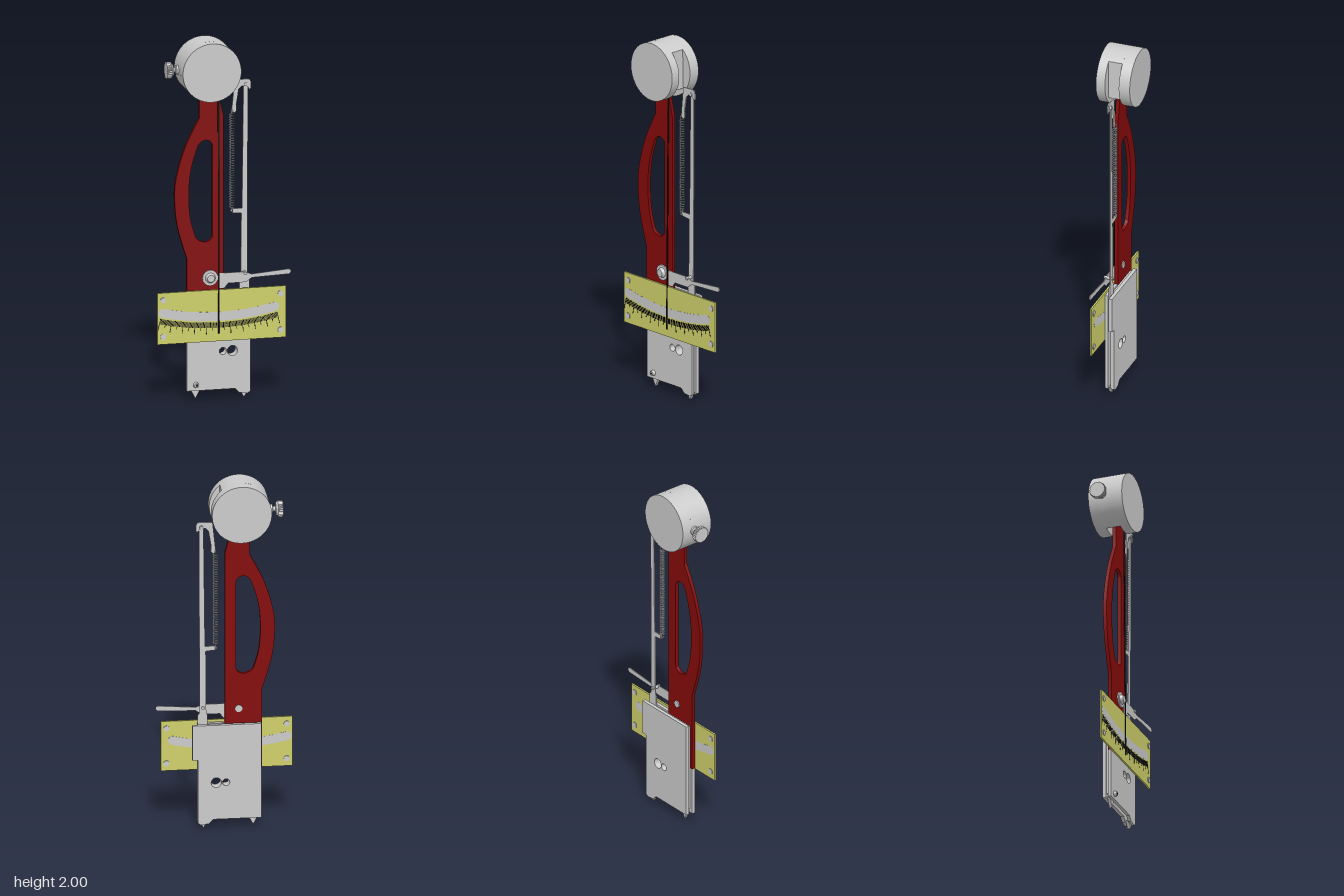
import * as THREE from 'three';
import { toCreasedNormals } from 'three/addons/utils/BufferGeometryUtils.js';

const mat = (color) => new THREE.MeshStandardMaterial({ color });
const GREY = mat(0xcccccc), RED = mat(0x850a0a), YELLOW = mat(0xcfd06a), BLACK = mat(0x111111);
const V = (x, y) => new THREE.Vector2(x, y);

export function createModel() {
  const root = new THREE.Group();

  const add = (name, geometry, material = GREY) => {
    const mesh = new THREE.Mesh(geometry, material);
    mesh.name = name;
    root.add(mesh);
    return mesh;
  };
  const poly = (pts) => new THREE.Shape(pts.map(([x, y]) => V(x, y)));
  // flat part: outline in x/y, between two depths
  const plate = (name, shape, z0, z1, material) => {
    const g = new THREE.ExtrudeGeometry(shape, { depth: z1 - z0, bevelEnabled: false, curveSegments: 32 });
    g.translate(0, 0, z0);
    return add(name, toCreasedNormals(g, 0.5), material);
  };
  // round part with its axis along z
  const disc = (name, x, y, r, z0, z1, material, r1 = r, sides = 32) => {
    const g = new THREE.CylinderGeometry(r1, r, z1 - z0, sides);
    g.rotateX(Math.PI / 2);
    g.translate(x, y, (z0 + z1) / 2);
    return add(name, g, material);
  };
  const circleHole = (x, y, r) => new THREE.Path().absarc(x, y, r, 0, Math.PI * 2, true);

  // Drum: two full discs with a cut-away slice between them
  const cx = -0.0875, cy = 1.8375, R = 0.1625;
  disc('drumFront', cx, cy, R, 0.045, 0.097, GREY, R, 64);
  disc('drumBack', cx, cy, R, -0.098, -0.035, GREY, R, 64);
  const slice = new THREE.Shape();
  slice.absarc(cx, cy, R, 0.868, 4.383, false);
  slice.lineTo(-0.14, 1.74);
  slice.lineTo(0.018, 1.74);
  plate('drumMiddle', slice, -0.035, 0.045);

  // Fluted knob on the side of the drum
  const flutes = [];
  for (let i = 0; i < 48; i++) {
    const a = (i / 48) * Math.PI * 2, r = i % 2 ? 0.041 : 0.046;
    flutes.push([r * Math.cos(a), r * Math.sin(a)]);
  }
  const knobHead = plate('knobHead', poly(flutes), 0, 0.027);
  knobHead.rotation.y = -Math.PI / 2;
  knobHead.position.set(-0.289, cy, -0.02);
  const stem = add('knobStem', toCreasedNormals(new THREE.LatheGeometry([
    V(0, 0), V(0.025, 0), V(0.025, 0.018), V(0.013, 0.022), V(0.013, 0.034),
    V(0.032, 0.036), V(0.043, 0.048), V(0, 0.048)], 32), 0.5));
  stem.rotation.z = Math.PI / 2;
  stem.position.set(-0.242, cy, -0.02);

  // Arm with bowed handle and grip opening
  const arm = new THREE.Shape();
  arm.moveTo(-0.208, 0.33);
  arm.lineTo(-0.005, 0.33);
  arm.lineTo(-0.005, 1.58);
  arm.lineTo(-0.03, 1.68);
  arm.lineTo(-0.03, 1.745);
  arm.lineTo(-0.14, 1.745);
  arm.lineTo(-0.14, 1.57);
  arm.splineThru([V(-0.215, 1.42), V(-0.262, 1.27), V(-0.277, 1.15), V(-0.262, 0.98), V(-0.208, 0.79)]);
  const grip = new THREE.Path();
  grip.moveTo(-0.066, 0.92);
  grip.lineTo(-0.066, 1.41);
  grip.quadraticCurveTo(-0.07, 1.445, -0.105, 1.447);
  grip.quadraticCurveTo(-0.135, 1.445, -0.15, 1.41);
  grip.splineThru([V(-0.185, 1.29), V(-0.198, 1.16), V(-0.19, 1.02), V(-0.16, 0.91)]);
  grip.quadraticCurveTo(-0.145, 0.885, -0.105, 0.88);
  grip.quadraticCurveTo(-0.068, 0.885, -0.066, 0.92);
  arm.holes.push(grip);
  plate('arm', arm, 0, 0.02, RED);

  // Base: front plate, spacer and back plate with two through holes
  const foot = [[0.06, 0.055], [0.085, 0.03], [0.13, 0.025], [0.145, 0.035]];
  const basePlates = [
    ['baseFrontPlate', [[-0.208, 0.055], ...foot, [0.145, 0.6], [0, 0.6], [0, 0.33], [-0.208, 0.33]], 0, 0.018],
    ['baseSpacer', [[-0.19, 0.08], [0.07, 0.08], [0.07, 0.59], [-0.19, 0.59]], -0.015, 0],
    ['baseBackPlate', [[-0.2, 0.055], ...foot, [0.145, 0.4], [0.175, 0.4], [0.175, 0.6], [-0.2, 0.6]], -0.035, -0.015],
  ];
  for (const [name, pts, z0, z1] of basePlates) {
    const s = poly(pts);
    s.holes.push(circleHole(-0.008, 0.267, 0.02), circleHole(0.045, 0.267, 0.028));
    plate(name, s, z0, z1);
  }
  plate('leftTooth', poly([[-0.185, 0.06], [-0.157, 0.008], [-0.13, 0.06], [-0.157, 0.1]]), -0.012, 0.004);
  plate('rightTooth', poly([[0.09, 0.04], [0.113, 0], [0.136, 0.04]]), -0.015, 0.004);
  disc('toothScrew', -0.157, 0.087, 0.016, 0.018, 0.034, GREY, 0.012);
  disc('toothScrewSocket', -0.157, 0.087, 0.006, 0.03, 0.035, BLACK);

  // Dial plate with curved strip, graduations and corner screws
  plate('dialPlate', poly([[-0.375, 0.327], [0.34, 0.327], [0.34, 0.613], [-0.375, 0.613]]), 0.02, 0.03, YELLOW);
  const px = -0.034, py = 1.84, down = -Math.PI / 2;
  const strip = new THREE.Shape(), half = 0.228, endY = 0.025;
  strip.absarc(px, py, 1.375 + endY, down - half, down + half, false);
  strip.absarc(px + 1.375 * Math.sin(half), py - 1.375 * Math.cos(half), endY, down + half, down + half + Math.PI, false);
  strip.absarc(px, py, 1.375 - endY, down + half, down - half, true);
  strip.absarc(px - 1.375 * Math.sin(half), py - 1.375 * Math.cos(half), endY, down - half + Math.PI, down - half + Math.PI * 2, false);
  plate('dialStrip', strip, 0.0195, 0.0305);
  const ticks = new THREE.Group();
  ticks.name = 'graduations';
  for (let i = -50; i <= 50; i++) {
    const len = i % 10 === 0 ? 0.065 : i % 5 === 0 ? 0.045 : 0.03;
    const a = (i / 50) * 0.232, r = 1.408 + len / 2;
    const tick = new THREE.Mesh(new THREE.BoxGeometry(0.0035, len, 0.001), BLACK);
    tick.position.set(px + r * Math.sin(a), py - r * Math.cos(a), 0.0305);
    tick.rotation.z = a;
    ticks.add(tick);
  }
  root.add(ticks);
  for (const x of [-0.343, 0.31]) {
    for (const y of [0.37, 0.572]) disc('dialScrew', x, y, 0.016, 0.016, 0.034);
  }

  // Pointer needle
  const needle = add('needle', new THREE.BoxGeometry(0.008, 1.32, 0.003), BLACK);
  needle.position.set(-0.034, 1.03, 0.029);
  needle.rotation.x = -0.009;

  // Pivot bolt through the arm
  disc('pivotWasher', -0.08, 0.68, 0.043, 0.02, 0.028);
  disc('pivotBolt', -0.08, 0.68, 0.028, 0.028, 0.045, GREY, 0.02);
  disc('pivotBack', -0.08, 0.68, 0.02, -0.006, 0);

  // Release lever
  const lever = poly([[-0.03, 0.62], [0, 0.62], [0.02, 0.645], [0.12, 0.645], [0.15, 0.668], [0.355, 0.676]]);
  lever.absarc(0.355, 0.69, 0.014, down, -down, false);
  for (const [x, y] of [[0.15, 0.688], [0.115, 0.703], [-0.03, 0.703]]) lever.lineTo(x, y);
  plate('lever', lever, 0.02, 0.025);
  disc('leverPin', 0.115, 0.695, 0.009, -0.018, 0.033);

  // Long rod with spring tab, and the catch hooked over its top
  plate('rod', poly([[0.09, 0.56], [0.145, 0.56], [0.145, 0.65], [0.133, 0.665], [0.137, 1.73], [0.112, 1.73],
    [0.104, 1.05], [0.045, 1.052], [0.038, 1.038], [0.05, 1.027], [0.1, 1.022], [0.097, 0.67], [0.09, 0.65]]), -0.01, -0.004);
  plate('catch', poly([[0.045, 1.6], [0.058, 1.583], [0.072, 1.595], [0.07, 1.63], [0.084, 1.715], [0.1, 1.732],
    [0.132, 1.73], [0.142, 1.712], [0.153, 1.715], [0.153, 1.75], [0.146, 1.766], [0.13, 1.77], [0.062, 1.767]]), -0.004, 0.003);
  disc('catchPivot', 0.123, 1.74, 0.01, -0.014, 0.008);

  // Coil spring
  const turns = 38, coil = [];
  for (let i = 0; i <= turns * 10; i++) {
    const a = (i / 10) * Math.PI * 2;
    coil.push(new THREE.Vector3(0.047 + 0.012 * Math.cos(a), 1.055 + (0.525 * i) / (turns * 10), -0.002 + 0.012 * Math.sin(a)));
  }
  add('spring', new THREE.TubeGeometry(new THREE.CatmullRomCurve3(coil), turns * 12, 0.0035, 6));
  for (const y of [1.045, 1.59]) {
    const loop = add('springLoop', new THREE.TorusGeometry(0.012, 0.0035, 6, 20));
    loop.position.set(0.047, y, -0.002);
    loop.rotation.y = Math.PI / 2;
  }
  return root;
}
